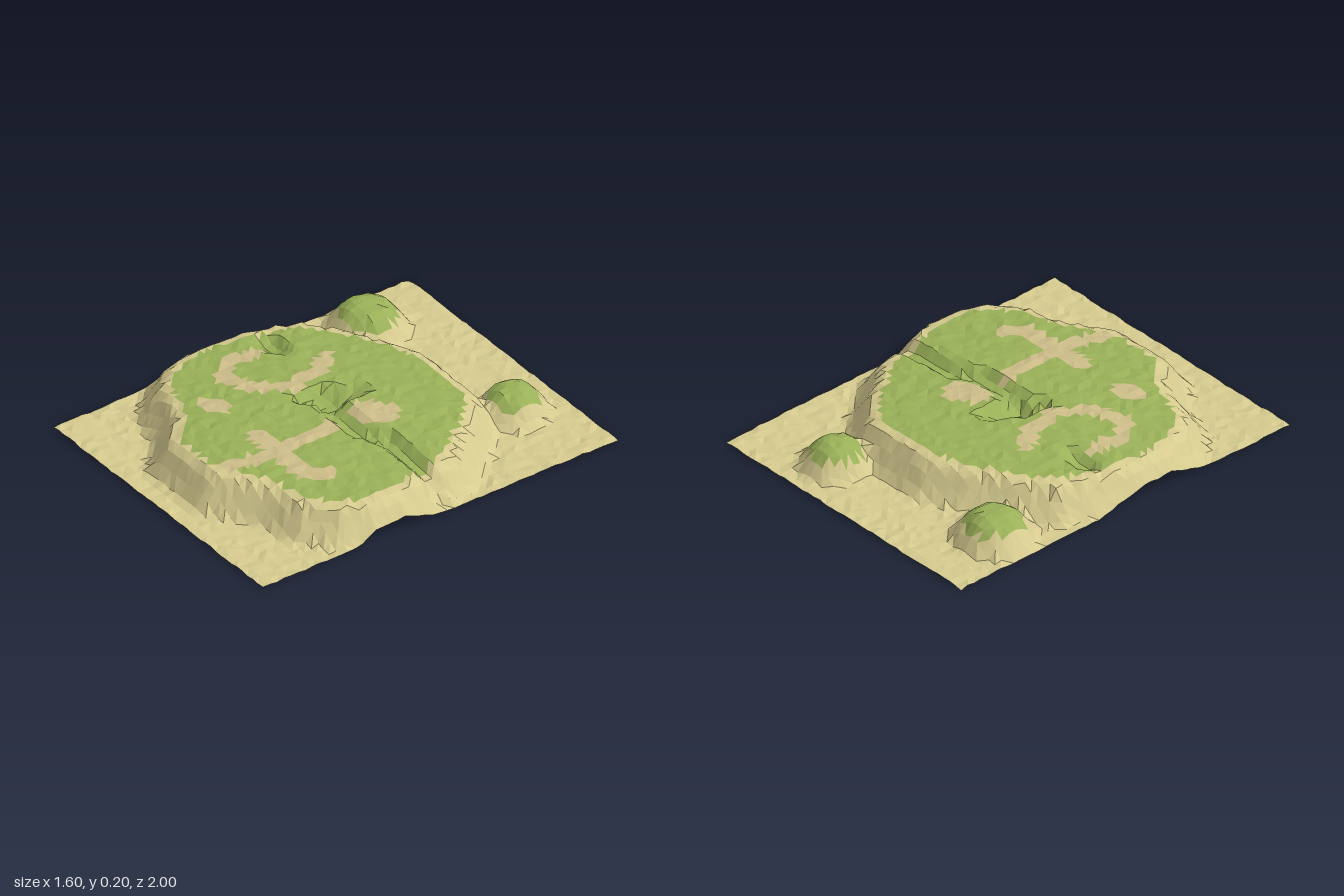
import * as THREE from 'three';

const NX = 40, NZ = 50, STEP = 0.04;

// Plan outline of the plateau at half the height of its cliff
const RIM = [
  [-0.22, 0.83], [0.13, 0.83], [0.38, 0.68], [0.58, 0.63], [0.72, 0.5], [0.78, 0.36], [0.79, 0.2],
  [0.74, 0], [0.69, -0.2], [0.5, -0.45], [0.34, -0.6], [-0.1, -0.62], [-0.3, -0.54], [-0.5, -0.43],
  [-0.68, -0.3], [-0.75, -0.1], [-0.79, 0.1], [-0.79, 0.3], [-0.74, 0.46], [-0.6, 0.61], [-0.4, 0.67],
];

// Hollows cut into the plateau: path, depth, inner and outer half-width
const HOLLOWS = [
  { path: [[0.72, -0.03], [0.36, -0.01], [0.24, 0.05], [0, 0.04]], depth: 0.045, inner: 0.02, outer: 0.07 },
  { path: [[-0.02, -0.12], [-0.08, 0], [-0.11, 0.1]], depth: 0.045, inner: 0.01, outer: 0.07 },
  { path: [[-0.04, -0.02], [-0.06, 0.02]], depth: 0.05, inner: 0.01, outer: 0.09 },
  { path: [[-0.6, -0.05], [-0.52, -0.05]], depth: 0.05, inner: 0.01, outer: 0.07 },
];

// Bare earth in the grass: path and half-width
const PATHS = [
  { path: [[-0.32, -0.18], [-0.23, -0.07], [-0.25, 0.02]], width: 0.04 },
  { path: [[-0.2, 0.08], [-0.32, 0.24], [-0.46, 0.3], [-0.55, 0.2], [-0.54, 0.04]], width: 0.04 },
  { path: [[0.14, 0.12], [0.17, 0.3], [0.17, 0.5], [0.11, 0.72]], width: 0.042 },
  { path: [[0, 0.45], [0.36, 0.46], [0.44, 0.37]], width: 0.045 },
  { path: [[0.14, -0.07], [0.2, -0.11]], width: 0.08 },
  { path: [[-0.33, 0.47], [-0.27, 0.44]], width: 0.05 },
];

const HILLS = [
  { x: -0.59, z: -0.61, rx: 0.15, rz: 0.145, height: 0.16 },
  { x: 0.33, z: -0.75, rx: 0.125, rz: 0.13, height: 0.15 },
];

function hash(i, j) {
  const s = Math.sin(i * 127.1 + j * 311.7) * 43758.5453;
  return s - Math.floor(s);
}

function distanceToPath(x, z, path, closed = false) {
  let best = Infinity;
  const n = path.length;
  for (let i = 0; i < (closed ? n : n - 1); i++) {
    const [ax, az] = path[i], [bx, bz] = path[(i + 1) % n];
    const dx = bx - ax, dz = bz - az;
    const t = THREE.MathUtils.clamp(((x - ax) * dx + (z - az) * dz) / (dx * dx + dz * dz), 0, 1);
    best = Math.min(best, Math.hypot(x - ax - t * dx, z - az - t * dz));
  }
  return best;
}

// Signed distance to the rim, negative on the plateau
function rimDistance(x, z) {
  let inside = false;
  RIM.forEach(([ax, az], i) => {
    const [bx, bz] = RIM[(i + 1) % RIM.length];
    if ((az > z) !== (bz > z) && x < ax + ((z - az) / (bz - az)) * (bx - ax)) inside = !inside;
  });
  return distanceToPath(x, z, RIM, true) * (inside ? -1 : 1);
}

function profile(points, v) {
  if (v <= points[0][0]) return points[0][1];
  for (let i = 1; i < points.length; i++) {
    const [a, ya] = points[i - 1], [b, yb] = points[i];
    if (v <= b) return ya + ((v - a) / (b - a)) * (yb - ya);
  }
  return points[points.length - 1][1];
}

const CLIFF = [[-0.1, 0.172], [-0.045, 0.16], [0, 0.09], [0.05, 0.022], [0.09, 0]];
const HILL = [[0, 1], [0.5, 0.96], [0.8, 0.78], [1.05, 0.5], [1.4, 0.07], [1.55, 0]];

const hillRadius = (h, x, z) => Math.hypot((x - h.x) / h.rx, (z - h.z) / h.rz);

function heightAt(x, z) {
  const d = rimDistance(x, z);
  let y = profile(CLIFF, d);
  if (d < -0.05) {
    // gentle dome on top
    y += 0.022 * Math.max(0, 1 - (x * x + (z - 0.12) ** 2) / 0.45);
  }
  for (const h of HOLLOWS) {
    y -= h.depth * (1 - THREE.MathUtils.smoothstep(distanceToPath(x, z, h.path), h.inner, h.outer));
  }
  for (const h of HILLS) y = Math.max(y, h.height * profile(HILL, hillRadius(h, x, z)));
  return Math.max(y, 0.01);
}

function surfaceKind(x, z, y) {
  if (HILLS.some((h) => hillRadius(h, x, z) < 0.95)) return 'hillGrass';
  if (rimDistance(x, z) < -0.095) {
    return PATHS.some((p) => distanceToPath(x, z, p.path) < p.width) ? 'dirtPaths' : 'plateauGrass';
  }
  return y > 0.03 ? 'cliffs' : 'sandGround';
}

export function createModel() {
  const group = new THREE.Group();
  group.name = 'terrain';
  const colors = {
    sandGround: 0xd6cb8f, cliffs: 0xd6cb8f, dirtPaths: 0xcdbd89,
    plateauGrass: 0x9ab158, hillGrass: 0x9ab158,
  };

  // Slightly roughened grid of corners
  const corners = [];
  for (let j = 0; j <= NZ; j++) {
    for (let i = 0; i <= NX; i++) {
      const x = i * STEP - 0.8, z = j * STEP - 1;
      const y = heightAt(x, z) + (hash(i, j) - 0.5) * 0.01;
      corners.push([x, Math.max(y, 0), z]);
    }
  }
  corners[0][1] = 0;

  // Sort each grid cell into its surface
  const faces = {};
  for (const kind in colors) faces[kind] = [];
  for (let j = 0; j < NZ; j++) {
    for (let i = 0; i < NX; i++) {
      const k = j * (NX + 1) + i;
      const a = corners[k], b = corners[k + 1], c = corners[k + NX + 1], d = corners[k + NX + 2];
      const tris = hash(i + 57, j + 13) < 0.5 ? [[a, c, b], [b, c, d]] : [[a, c, d], [a, d, b]];
      for (const tri of tris) {
        const [x, y, z] = [0, 1, 2].map((n) => (tri[0][n] + tri[1][n] + tri[2][n]) / 3);
        for (const p of tri) faces[surfaceKind(x, z, y)].push(...p);
      }
    }
  }

  for (const kind in colors) {
    const geometry = new THREE.BufferGeometry();
    geometry.setAttribute('position', new THREE.Float32BufferAttribute(faces[kind], 3));
    geometry.computeVertexNormals();
    const material = new THREE.MeshStandardMaterial({
      color: colors[kind], flatShading: true, side: THREE.DoubleSide,
    });
    const mesh = new THREE.Mesh(geometry, material);
    mesh.name = kind;
    group.add(mesh);
  }
  return group;
}
